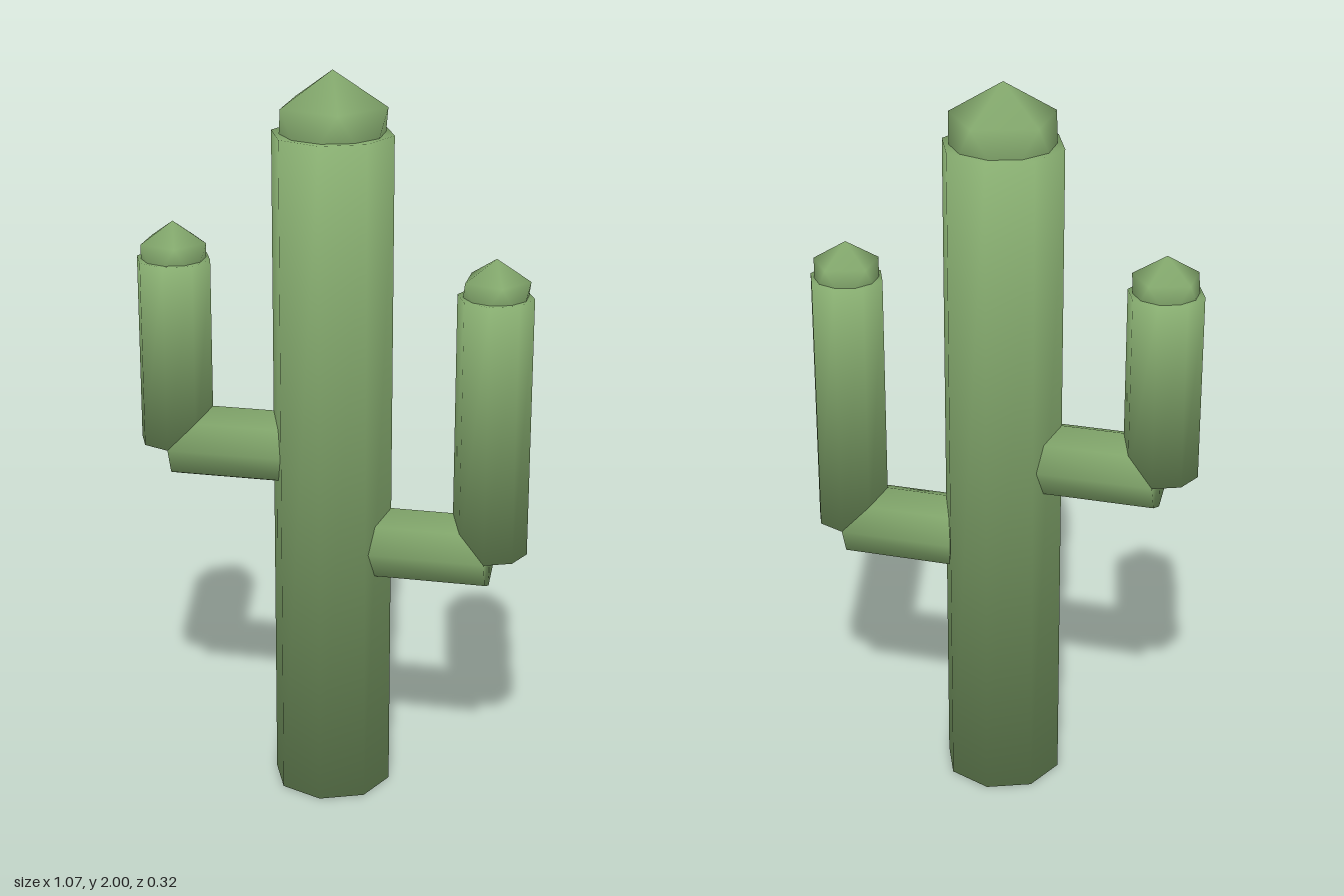
import * as THREE from 'three';
import { mergeVertices } from 'three/addons/utils/BufferGeometryUtils.js';

const green = new THREE.MeshStandardMaterial({ color: 0x87ad70 });
green.name = 'cactusGreen';

// Eight-sided column whose soft normals run on over the end faces
function column(radius, height) {
  const geo = new THREE.CylinderGeometry(radius, radius, height, 8);
  const pos = geo.attributes.position;
  const n = new THREE.Vector3();
  for (let i = 0; i < pos.count; i++) {
    n.set(pos.getX(i) / radius * 0.78, Math.sign(pos.getY(i)) * 0.63, pos.getZ(i) / radius * 0.78).normalize();
    geo.attributes.normal.setXYZ(i, n.x, n.y, n.z);
  }
  return geo;
}

// Icosahedron standing on one corner, with smooth normals
function bud(radius) {
  const pts = [0, radius, 0];
  for (let ring = 0; ring < 2; ring++) {
    for (let i = 0; i < 5; i++) {
      const a = (i + ring / 2) * Math.PI * 0.4;
      pts.push(Math.cos(a) * 0.8944 * radius, (ring ? -1 : 1) * 0.4472 * radius, Math.sin(a) * 0.8944 * radius);
    }
  }
  pts.push(0, -radius, 0);
  const faces = [];
  for (let i = 0; i < 5; i++) {
    const u = 1 + i, v = 1 + (i + 1) % 5, lu = u + 5, lv = v + 5;
    faces.push(0, v, u, u, v, lu, v, lv, lu, 11, lu, lv);
  }
  const geo = new THREE.BufferGeometry();
  geo.setAttribute('position', new THREE.Float32BufferAttribute(pts, 3));
  geo.setIndex(faces);
  const merged = mergeVertices(geo);
  merged.computeVertexNormals();
  return merged;
}

function add(parent, name, geo, x, y) {
  const mesh = new THREE.Mesh(geo, green);
  mesh.name = name;
  mesh.position.set(x, y, 0);
  parent.add(mesh);
  return mesh;
}

// Branch out of the trunk, upright stem and its tip
function arm(name, side, elbowY, topY) {
  const group = new THREE.Group();
  group.name = name;
  const r = 0.101, reach = 0.432, inner = 0.03;
  const branch = column(r, reach - inner).rotateZ(Math.PI / 2);
  add(group, name + 'Branch', branch, side * (reach + inner) / 2, elbowY);
  add(group, name + 'Stem', column(r, topY - elbowY), side * reach, (elbowY + topY) / 2);
  add(group, name + 'Tip', bud(r), side * reach, topY);
  return group;
}

export function createModel() {
  const cactus = new THREE.Group();
  cactus.name = 'cactus';
  const r = 0.162, top = 1.838;
  add(cactus, 'trunk', column(r, top), 0, top / 2);
  add(cactus, 'trunkTip', bud(r), 0, top);
  cactus.add(arm('leftArm', 1, 0.718, 1.43));
  cactus.add(arm('rightArm', -1, 0.972, 1.481));
  return cactus;
}
